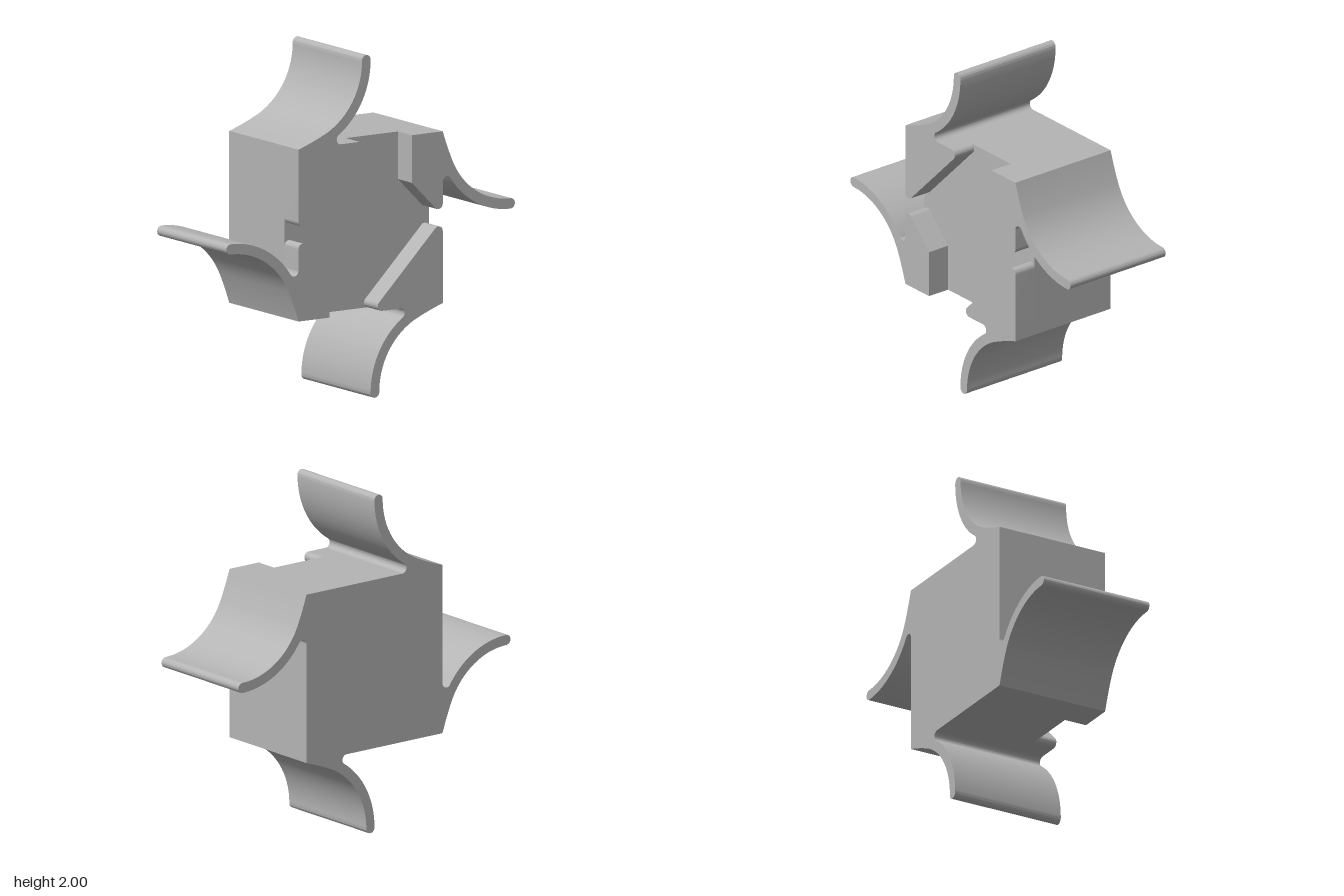
import * as THREE from 'three';
import { toCreasedNormals } from 'three/addons/utils/BufferGeometryUtils.js';

const BACK = -0.35, FLOOR = 0.21, FRONT = 0.35;
const rad = THREE.MathUtils.degToRad;

// Extrude a shape between two z planes, smooth on curves and sharp at corners
function slab(shape, z0, z1) {
  const geometry = new THREE.ExtrudeGeometry(shape, { depth: z1 - z0, bevelEnabled: false, curveSegments: 20 });
  geometry.translate(0, 0, z0);
  return toCreasedNormals(geometry, rad(30));
}

// Curved vane with a rounded tip and a fillet at its root
function vaneShape() {
  const s = new THREE.Shape();
  s.moveTo(-0.5, 0.5);
  s.lineTo(-0.205, 0.5);
  s.absarc(-0.205, 0.53, 0.03, rad(-90), rad(-235), true);
  s.absarc(-0.5, 0.97, 0.5, rad(-56.2), 0, false);
  s.absarc(-0.03, 0.97, 0.03, 0, Math.PI, false);
  s.absarc(-0.5, 0.97, 0.44, 0, rad(-65), true);
  s.quadraticCurveTo(-0.4, 0.532, -0.5, 0.5);
  return s;
}

// Triangular corner block with two rounded tips
function triangleShape() {
  const s = new THREE.Shape();
  s.moveTo(-0.5, 0.5);
  s.lineTo(-0.08, 0.5);
  s.absarc(-0.08, 0.47, 0.03, rad(90), rad(-45), true);
  s.absarc(-0.47, 0.08, 0.03, rad(-45), rad(-180), true);
  s.closePath();
  return s;
}

// Narrow corner block with one rounded tip
function wedgeShape() {
  const s = new THREE.Shape();
  s.moveTo(0.285, 0.5);
  s.lineTo(0.5, 0.5);
  s.lineTo(0.5, 0.08);
  s.absarc(0.47, 0.08, 0.03, 0, rad(-135), true);
  s.lineTo(0.285, 0.223);
  s.closePath();
  return s;
}

export function createModel() {
  const model = new THREE.Group();
  model.name = 'vanedBlock';
  const grey = new THREE.MeshStandardMaterial({ color: 0xb4b4b4 });
  grey.name = 'grey';

  function add(name, geometry, angle = 0) {
    const mesh = new THREE.Mesh(geometry, grey);
    mesh.name = name;
    mesh.position.y = 1;
    mesh.rotation.z = angle;
    model.add(mesh);
  }

  // Square body behind the recessed channels
  const body = new THREE.BoxGeometry(1, 1, FLOOR - BACK);
  body.translate(0, 0, (FLOOR + BACK) / 2);
  add('body', body);

  // Four full-depth vanes, one per side
  const vane = slab(vaneShape(), BACK, FRONT);
  for (let i = 0; i < 4; i++) add(`vane${i + 1}`, vane, -i * Math.PI / 2);

  // Raised corner blocks, in opposite pairs
  const triangle = slab(triangleShape(), FLOOR, FRONT);
  const wedge = slab(wedgeShape(), FLOOR, FRONT);
  for (let i = 0; i < 2; i++) {
    add(`triangleBlock${i + 1}`, triangle, i * Math.PI);
    add(`wedgeBlock${i + 1}`, wedge, i * Math.PI);
  }
  return model;
}
